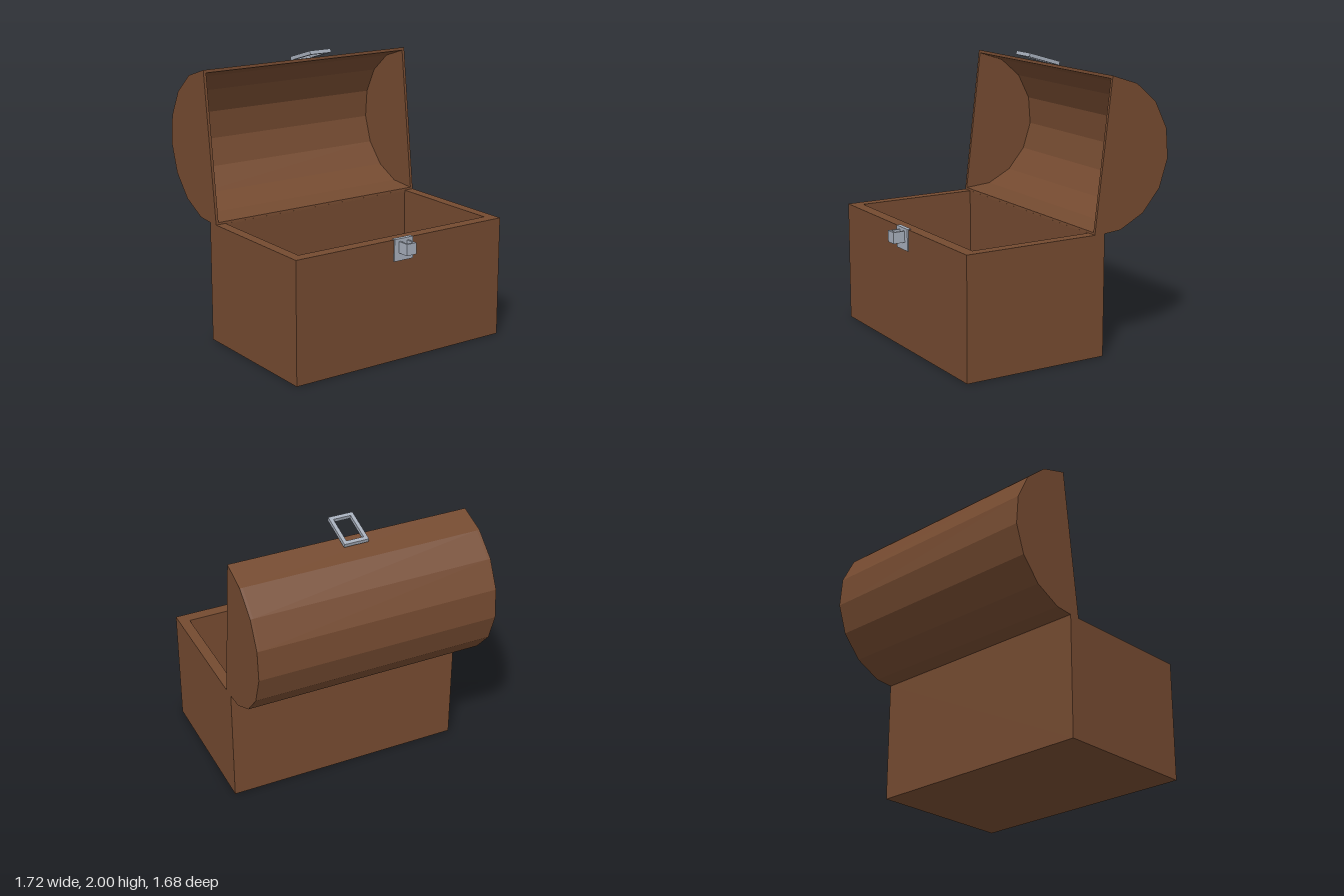
import * as THREE from 'three';

const wood = new THREE.MeshStandardMaterial({ color: 0x744a30, flatShading: true });
const metal = new THREE.MeshStandardMaterial({ color: 0xa6aebb, flatShading: true });

function addMesh(parent, name, geometry, material, x = 0, y = 0, z = 0) {
  const mesh = new THREE.Mesh(geometry, material);
  mesh.name = name;
  mesh.position.set(x, y, z);
  parent.add(mesh);
  return mesh;
}

function rectPoints(x0, x1, z0, z1) {
  return [[x0, z0], [x1, z0], [x1, z1], [x0, z1]].map(([x, z]) => new THREE.Vector2(x, z));
}

// Upright rectangular frame: outline and hole lie in x-z, centred on y
function frameGeometry(outer, inner, height) {
  const shape = new THREE.Shape(rectPoints(...outer));
  shape.holes.push(new THREE.Path(rectPoints(...inner)));
  const g = new THREE.ExtrudeGeometry(shape, { depth: height, bevelEnabled: false });
  return g.translate(0, 0, -height / 2).rotateX(Math.PI / 2);
}

// Profile in (z, y) extruded along x, centred on x
function profileGeometry(points, width) {
  const g = new THREE.ExtrudeGeometry(new THREE.Shape(points), { depth: width, bevelEnabled: false });
  return g.translate(0, 0, -width / 2).rotateY(-Math.PI / 2);
}

// Half circle with 8 facets, bulging towards -z
function halfArc(radius) {
  return Array.from({ length: 9 }, (_, i) => {
    const a = Math.PI / 2 + (i * Math.PI) / 8;
    return new THREE.Vector2(radius * Math.cos(a), radius * Math.sin(a));
  });
}

export function createModel() {
  const chest = new THREE.Group();
  chest.name = 'chest';

  // Hollow box with a floor
  const box = new THREE.Group();
  box.name = 'box';
  chest.add(box);
  addMesh(box, 'boxWalls', frameGeometry([-0.86, 0.86, -0.32, 0.75], [-0.785, 0.785, -0.24, 0.665], 0.86), wood, 0, 0.43, 0);
  addMesh(box, 'boxFloor', new THREE.BoxGeometry(1.57, 0.08, 0.905), wood, 0, 0.04, 0.2125);

  // Open barrel lid, tilted back on its rear edge
  const lid = new THREE.Group();
  lid.name = 'lid';
  lid.position.set(0, 1.388, -0.303);
  lid.rotation.x = -0.118;
  chest.add(lid);
  const outer = halfArc(0.538);
  const inner = halfArc(0.517);
  addMesh(lid, 'lidShell', profileGeometry([...outer, ...inner.reverse()], 1.68), wood);
  for (const side of [-1, 1]) {
    addMesh(lid, side > 0 ? 'lidEndLeft' : 'lidEndRight', profileGeometry(outer, 0.02), wood, side * 0.85);
  }

  // Hasp loop on the lid's free edge
  const hasp = addMesh(chest, 'hasp', frameGeometry([-0.088, 0.088, -0.13, 0.13], [-0.062, 0.062, -0.102, 0.102], 0.027), metal, 0, 1.952, -0.338);
  hasp.rotation.x = -0.29;

  // Lock plate and staple on the box front
  addMesh(chest, 'lockPlate', new THREE.BoxGeometry(0.154, 0.154, 0.03), metal, 0, 0.787, 0.745);
  addMesh(chest, 'staple', frameGeometry([-0.04, 0.04, 0.745, 0.845], [-0.026, 0.026, 0.76, 0.828], 0.08), metal, 0, 0.805, 0);

  return chest;
}
